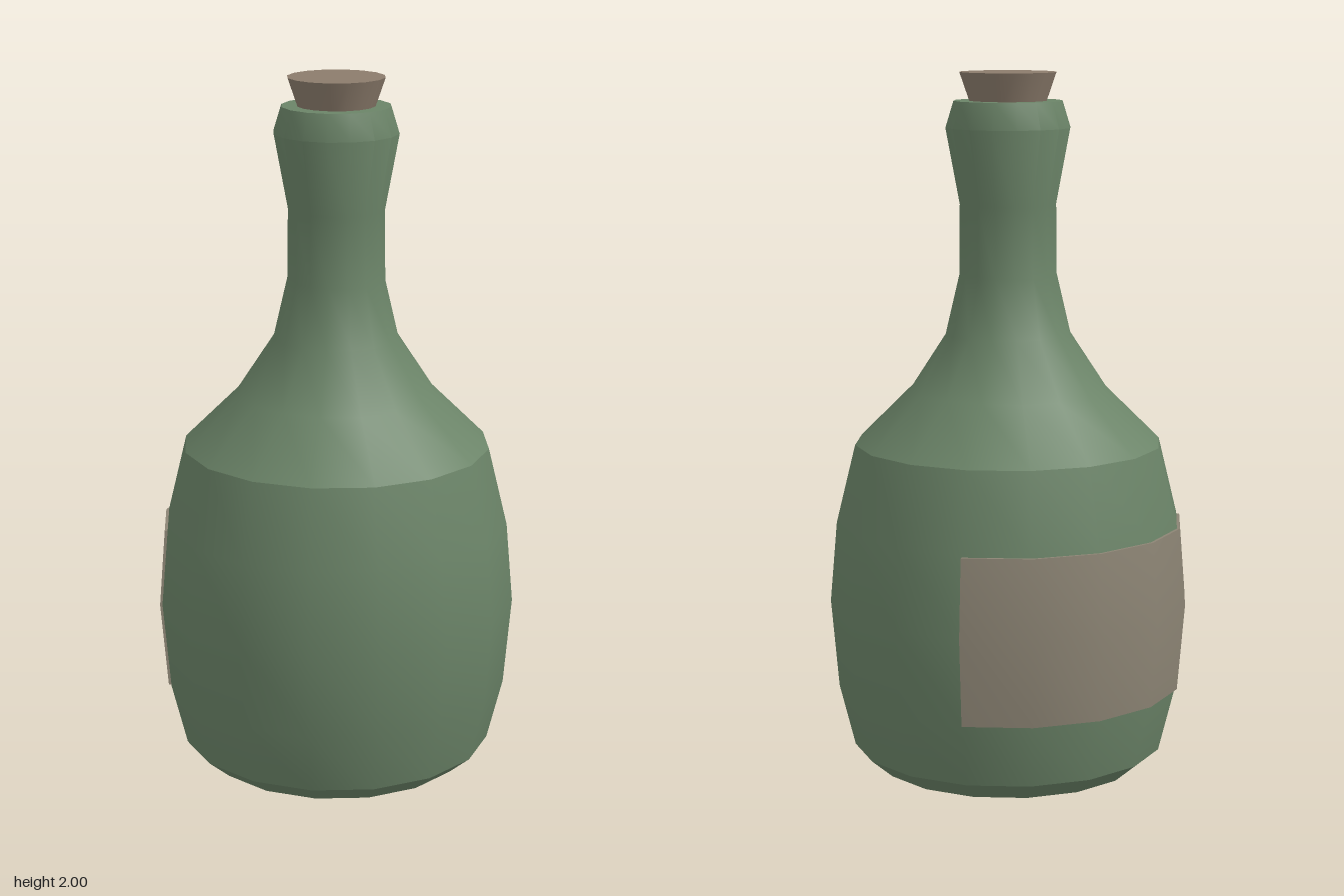
import * as THREE from 'three';
import { mergeGeometries, toCreasedNormals } from 'three/addons/utils/BufferGeometryUtils.js';

const SIDES = 16;
const STEP = (Math.PI * 2) / SIDES;
const CREASE = Math.PI / 6;

const toPoints = (list) => list.map(([r, y]) => new THREE.Vector2(r, y));

function part(name, geometry, color, side = THREE.FrontSide) {
  const mesh = new THREE.Mesh(
    toCreasedNormals(geometry, CREASE),
    new THREE.MeshStandardMaterial({ color, side })
  );
  mesh.name = name;
  return mesh;
}

// Closed band that wraps part of the body, with a cap at each end
function bandGeometry(outline, phiStart, segments) {
  const points = toPoints(outline);
  const wall = new THREE.LatheGeometry([...points, points[0]], segments, phiStart, segments * STEP);
  const caps = [phiStart, phiStart + segments * STEP].map((phi) =>
    new THREE.ShapeGeometry(new THREE.Shape(points)).rotateY(phi - Math.PI / 2)
  );
  return mergeGeometries([wall, ...caps].map((g) => g.toNonIndexed()));
}

export function createModel() {
  const model = new THREE.Group();
  model.name = 'corkedBottle';

  // Bottle: chamfered base, bulging body, shoulder, neck and flared lip
  const bottle = toPoints([
    [0, 0], [0.385, 0], [0.45, 0.055], [0.495, 0.235], [0.517, 0.49],
    [0.497, 0.72], [0.442, 0.945], [0.285, 1.1], [0.18, 1.26], [0.14, 1.43],
    [0.138, 1.63], [0.178, 1.845], [0.155, 1.92], [0, 1.92],
  ]);
  model.add(part('bottle', new THREE.LatheGeometry(bottle, SIDES), 0x6b8468));

  // Tapered cork sitting in the mouth
  const cork = new THREE.CylinderGeometry(0.138, 0.1, 0.11, SIDES).translate(0, 1.945, 0);
  model.add(part('cork', cork, 0x8c7c6c));

  // Blank paper label following the bulge on one side
  const label = bandGeometry(
    [[0.48, 0.24], [0.503, 0.24], [0.524, 0.49], [0.506, 0.715], [0.483, 0.715], [0.501, 0.49]],
    -7 * STEP, 5
  );
  model.add(part('label', label, 0x8c8474, THREE.DoubleSide));

  return model;
}
